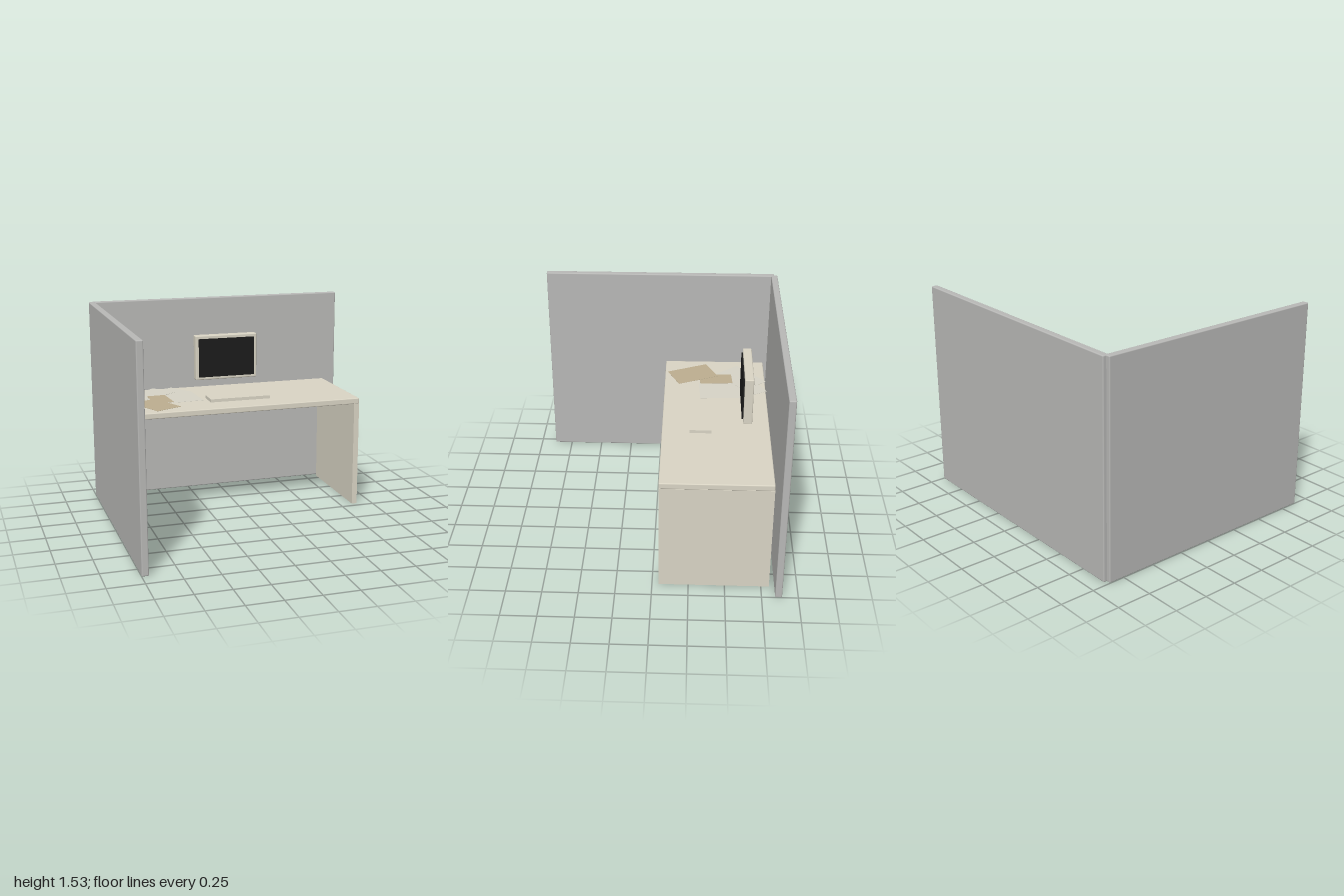
import * as THREE from 'three';
import { RoundedBoxGeometry } from 'three/addons/geometries/RoundedBoxGeometry.js';

const mat = (color) => new THREE.MeshStandardMaterial({ color });

export function createModel() {
  const group = new THREE.Group();
  const panelMat = mat(0xb8b8b6);
  const deskMat = mat(0xd9d4c4);
  const screenMat = mat(0x1c1c1c);
  const whitePaper = mat(0xd6d3c6);
  const brownPaper = mat(0xbcae90);

  // Box given by its extents; a bevel above zero rounds the edges
  function box(name, x, y, z, material, bevel = 0) {
    const size = [x, y, z].map(([a, b]) => b - a);
    const geometry = bevel
      ? new RoundedBoxGeometry(...size, 2, bevel)
      : new THREE.BoxGeometry(...size);
    const mesh = new THREE.Mesh(geometry, material);
    mesh.position.set(...[x, y, z].map(([a, b]) => (a + b) / 2));
    mesh.name = name;
    group.add(mesh);
  }

  // Partition walls
  box('backPartition', [-0.97, 1], [0, 1.53], [-0.89, -0.842], panelMat, 0.008);
  box('sidePartition', [-1, -0.952], [0, 1.53], [-0.865, 0.885], panelMat, 0.008);

  // Desk
  box('desktop', [-0.865, 0.885], [0.79, 0.834], [-0.806, -0.044], deskMat, 0.007);
  box('deskSidePanel', [0.845, 0.885], [0, 0.792], [-0.806, -0.044], deskMat);

  // Monitor and keyboard
  box('monitorCase', [-0.235, 0.255], [0.925, 1.27], [-0.675, -0.612], deskMat, 0.008);
  box('monitorScreen', [-0.21, 0.23], [0.948, 1.245], [-0.63, -0.602], screenMat);
  box('keyboard', [-0.22, 0.24], [0.834, 0.857], [-0.395, -0.24], deskMat);

  // Loose sheets: centre x, z, width, length, turn, colour
  const sheets = [
    [-0.468, -0.635, 0.226, 0.324, -1.04, whitePaper],
    [-0.378, -0.471, 0.226, 0.324, 0.05, whitePaper],
    [-0.585, -0.623, 0.22, 0.33, -0.86, whitePaper],
    [-0.56, -0.433, 0.142, 0.245, 0.06, brownPaper],
    [-0.633, -0.255, 0.215, 0.324, 0.43, brownPaper],
  ];
  sheets.forEach(([x, z, width, length, turn, material], i) => {
    const sheet = new THREE.Mesh(new THREE.BoxGeometry(width, 0.0015, length), material);
    sheet.position.set(x, 0.836 + i * 0.0015, z);
    sheet.rotation.y = turn;
    sheet.name = `paperSheet${i + 1}`;
    group.add(sheet);
  });

  return group;
}
